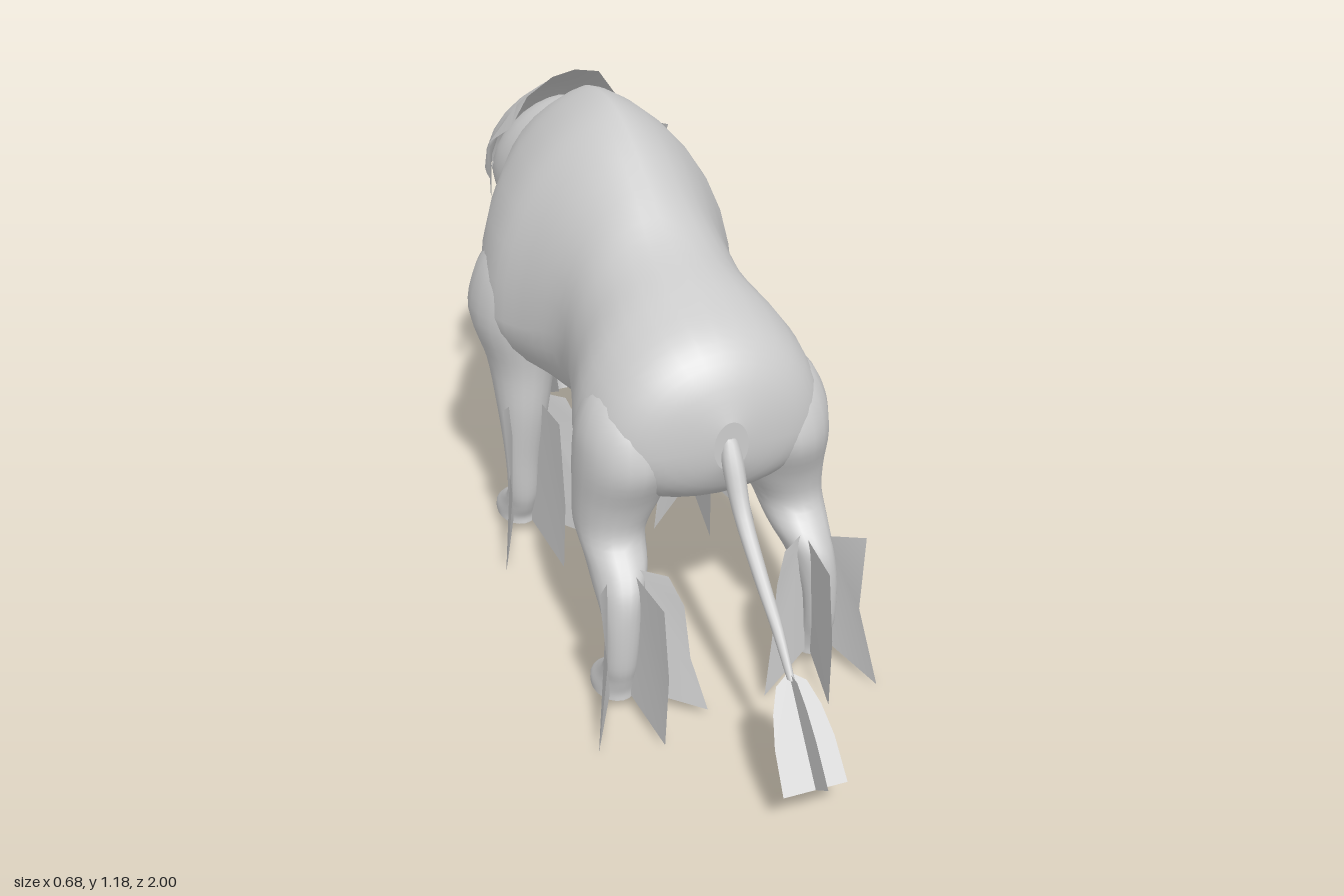
import * as THREE from 'three';

const hide = new THREE.MeshStandardMaterial({ color: 0xcccccc, side: THREE.DoubleSide });
hide.name = 'plain grey';

// Catmull-Rom refinement of rows of numbers
function refine(rows, n) {
  const out = [];
  const at = i => rows[Math.max(0, Math.min(rows.length - 1, i))];
  for (let i = 0; i < rows.length - 1; i++) {
    for (let k = 0; k < n; k++) {
      const t = k / n;
      out.push(rows[i].map((b, j) => {
        const a = at(i - 1)[j], c = at(i + 1)[j], d = at(i + 2)[j];
        return b + 0.5 * t * (c - a + t * (2 * a - 5 * b + 4 * c - d + t * (3 * (b - c) + d - a)));
      }));
    }
  }
  out.push(rows[rows.length - 1]);
  return out;
}

// Rows of [x,y,z] points joined into a surface; closed rows get end caps
function surface(name, rows, closed) {
  const pos = rows.flat(2), idx = [], n = rows[0].length;
  const span = closed ? n : n - 1;
  for (let r = 0; r < rows.length - 1; r++) {
    for (let c = 0; c < span; c++) {
      const a = r * n + c, b = r * n + (c + 1) % n;
      idx.push(a, b, a + n, b, b + n, a + n);
    }
  }
  if (closed) {
    [rows[0], rows[rows.length - 1]].forEach((ring, end) => {
      const base = pos.length / 3;
      const mid = [0, 1, 2].map(k => ring.reduce((s, p) => s + p[k], 0) / n);
      pos.push(...ring.flat(), ...mid);
      for (let c = 0; c < n; c++) {
        const d = (c + 1) % n;
        idx.push(base + n, base + (end ? c : d), base + (end ? d : c));
      }
    });
    // Turn the faces outward
    let vol = 0;
    const v = i => new THREE.Vector3(pos[3 * i], pos[3 * i + 1], pos[3 * i + 2]);
    for (let i = 0; i < idx.length; i += 3) vol += v(idx[i]).dot(v(idx[i + 1]).cross(v(idx[i + 2])));
    if (vol < 0) idx.reverse();
  }
  const g = new THREE.BufferGeometry();
  g.setAttribute('position', new THREE.Float32BufferAttribute(pos, 3));
  g.setIndex(idx);
  g.computeVertexNormals();
  const mesh = new THREE.Mesh(g, hide);
  mesh.name = name;
  return mesh;
}

// Rounded section facing along z: [z, top, bottom, halfWidth, widestY, taper]
function bodyRing([z, top, bot, w, mid, p], n = 32) {
  return Array.from({ length: n }, (_, i) => {
    const a = i / n * Math.PI * 2, s = Math.sin(a), c = Math.cos(a);
    const x = Math.sign(s) * Math.pow(Math.abs(s), c > 0 ? p : 1) * w;
    return [x, mid + c * (c > 0 ? top - mid : mid - bot), z];
  });
}

// Level leg section: [y, x, z, halfWidth, halfDepth]
function legRing([y, x, z, rx, rz], side, n = 20) {
  return Array.from({ length: n }, (_, i) => {
    const a = i / n * Math.PI * 2;
    return [side * (x + rx * Math.cos(a)), y, z + rz * Math.sin(a)];
  });
}

// Thin plate from an outline in space
function plate(name, pts) {
  const idx = [];
  for (let i = 1; i < pts.length - 1; i++) idx.push(0, i, i + 1);
  const g = new THREE.BufferGeometry();
  g.setAttribute('position', new THREE.Float32BufferAttribute(pts.flat(), 3));
  g.setIndex(idx);
  g.computeVertexNormals();
  const mesh = new THREE.Mesh(g, hide);
  mesh.name = name;
  return mesh;
}

export function createModel() {
  const model = new THREE.Group();
  model.name = 'animal';
  const loft = (name, rows, n, ring) => model.add(surface(name, refine(rows, n).map(r => ring(r)), true));

  // Torso and neck
  loft('body', [
    [0.458, 0.73, 0.61, 0.04, 0.67, 1], [0.42, 0.825, 0.54, 0.18, 0.65, 1],
    [0.35, 0.895, 0.49, 0.26, 0.63, 1], [0.23, 0.94, 0.46, 0.28, 0.63, 1],
    [0.08, 0.985, 0.44, 0.238, 0.66, 1], [-0.05, 1.065, 0.45, 0.222, 0.72, 1.1],
    [-0.2, 1.15, 0.47, 0.27, 0.68, 1.25], [-0.33, 1.18, 0.47, 0.315, 0.67, 1.4],
    [-0.48, 1.16, 0.5, 0.29, 0.7, 1.4], [-0.59, 1.1, 0.63, 0.21, 0.82, 1.2],
    [-0.66, 1.05, 0.71, 0.17, 0.85, 1.1],
  ], 4, bodyRing);

  // Skull and muzzle
  loft('head', [
    [-0.63, 1.06, 0.73, 0.185, 0.85, 1.2], [-0.72, 1.05, 0.75, 0.18, 0.85, 1.2],
    [-0.8, 1.0, 0.76, 0.16, 0.84, 1.2], [-0.87, 0.93, 0.735, 0.12, 0.8, 1.1],
    [-0.91, 0.89, 0.685, 0.09, 0.77, 1], [-0.95, 0.85, 0.675, 0.065, 0.75, 1],
    [-0.98, 0.8, 0.69, 0.04, 0.74, 1], [-0.992, 0.77, 0.72, 0.015, 0.745, 1],
  ], 3, bodyRing);

  // Swept-back mask with a jagged rear edge
  const edge = [[0, 1.165, -0.58], [0.06, 1.155, -0.575], [0.13, 1.06, -0.66], [0.17, 1.035, -0.58],
    [0.21, 0.98, -0.64], [0.235, 1.0, -0.55], [0.218, 0.83, -0.62]];
  const maskRows = refine([
    [-0.998, 0.825, 0.805, 0.01], [-0.955, 0.9, 0.8, 0.06], [-0.88, 0.985, 0.825, 0.135],
    [-0.81, 1.045, 0.84, 0.18], [-0.69, 1.11, 0.86, 0.2],
  ], 2).map(([z, top, low, w]) => Array.from({ length: 13 }, (_, i) => {
    const a = (i - 6) / 6 * Math.PI / 2, s = Math.sin(a);
    return [w * Math.sign(s) * Math.pow(Math.abs(s), 1.2), low + (top - low) * Math.cos(a), z];
  }));
  maskRows.push(Array.from({ length: 13 }, (_, i) => {
    const [x, y, z] = edge[Math.abs(i - 6)];
    return [i < 6 ? -x : x, y, z];
  }));
  model.add(surface('mask', maskRows, false));

  // Nose
  const nose = new THREE.Mesh(new THREE.SphereGeometry(0.03, 16, 12), hide);
  nose.name = 'nose';
  nose.scale.set(1.1, 0.7, 0.7);
  nose.position.set(0, 0.765, -0.972);
  model.add(nose);

  // Rounded beard layers: front top, front bottom, side top, side bottom as [z, y], then widths
  [
    [[-0.93, 0.7], [-0.97, 0.48], [-0.72, 0.77], [-0.59, 0.69], 0.12, 0.18],
    [[-0.91, 0.6], [-0.915, 0.39], [-0.59, 0.69], [-0.53, 0.56], 0.16, 0.18],
    [[-0.86, 0.5], [-0.855, 0.305], [-0.54, 0.57], [-0.48, 0.47], 0.15, 0.16],
    [[-0.79, 0.42], [-0.7, 0.2], [-0.46, 0.48], [-0.4, 0.37], 0.12, 0.12],
  ].forEach(([ft, fb, st, sb, wt, wb], i) => {
    const row = (f, s, w) => Array.from({ length: 9 }, (_, k) => {
      const t = (k - 4) / 4, m = Math.pow(Math.abs(t), 1.5);
      return [w * Math.sin(t * Math.PI / 2), f[1] + (s[1] - f[1]) * m, f[0] + (s[0] - f[0]) * m];
    });
    model.add(surface('beardLayer' + (i + 1), [row(ft, st, wt), row(fb, sb, wb)], false));
  });

  const frontLeg = [
    [0.88, 0.17, -0.37, 0.04, 0.05], [0.82, 0.19, -0.378, 0.09, 0.1], [0.74, 0.208, -0.39, 0.117, 0.14],
    [0.63, 0.218, -0.4, 0.124, 0.155],
    [0.51, 0.225, -0.375, 0.085, 0.115], [0.39, 0.235, -0.34, 0.065, 0.075], [0.25, 0.245, -0.325, 0.045, 0.04],
    [0.14, 0.245, -0.335, 0.04, 0.037], [0.09, 0.245, -0.375, 0.043, 0.062],
    [0.055, 0.245, -0.405, 0.05, 0.075], [0.035, 0.245, -0.405, 0.05, 0.075],
  ];
  const hindLeg = [
    [0.81, 0.14, 0.275, 0.04, 0.05], [0.75, 0.165, 0.28, 0.09, 0.09], [0.68, 0.178, 0.285, 0.11, 0.125],
    [0.6, 0.183, 0.285, 0.114, 0.14], [0.5, 0.198, 0.275, 0.1, 0.11],
    [0.42, 0.217, 0.275, 0.08, 0.1], [0.36, 0.222, 0.33, 0.068, 0.1],
    [0.31, 0.232, 0.375, 0.055, 0.085], [0.24, 0.24, 0.425, 0.043, 0.042], [0.14, 0.245, 0.425, 0.039, 0.038],
    [0.09, 0.245, 0.395, 0.042, 0.055], [0.055, 0.245, 0.37, 0.05, 0.07], [0.035, 0.245, 0.37, 0.05, 0.07],
  ];

  for (const side of [1, -1]) {
    const word = side > 0 ? 'left' : 'right';
    loft(word + 'FrontLeg', frontLeg, 4, r => legRing(r, side));
    loft(word + 'HindLeg', hindLeg, 4, r => legRing(r, side));

    // Feathered plates behind each shank
    [['Hind', 0, 0, 0.43], ['Front', -0.73, 0.06, 0.395]].forEach(([pair, dz, rise, foot]) => {
      const fin = (name, pts) => model.add(plate(word + pair + name,
        pts.map(([x, y, z]) => [side * x, y > 0.25 ? y + rise : y, z + dz])));
      fin('OuterFin', [[0.265, 0.34, 0.4], [0.318, 0.385, 0.5], [0.305, 0.2, 0.51], [0.342, 0, 0.55], [0.275, 0.05, foot]]);
      fin('MiddleFin', [[0.21, 0.36, 0.4], [0.195, 0.36, 0.57], [0.195, 0.2, 0.6], [0.2, 0.01, 0.59], [0.225, 0.04, foot]]);
      fin('InnerFin', [[0.215, 0.37, 0.4], [0.14, 0.36, 0.45], [0.112, 0.29, 0.475], [0.1, 0.15, 0.485], [0.07, 0.02, 0.52], [0.21, 0.05, foot]]);
    });

    // Eye and its lid
    const eye = new THREE.Mesh(new THREE.SphereGeometry(0.018, 12, 8), hide);
    eye.name = word + 'Eye';
    eye.position.set(side * 0.133, 0.822, -0.85);
    const lid = new THREE.Mesh(new THREE.TorusGeometry(0.022, 0.006, 6, 16), hide);
    lid.name = word + 'EyeLid';
    lid.position.copy(eye.position);
    lid.rotation.y = side * 2.1;
    model.add(eye, lid);
  }

  // Tail
  loft('tail', [
    [0.69, 0, 0.445, 0.016, 0.015], [0.64, 0, 0.465, 0.024, 0.028], [0.54, 0, 0.525, 0.02, 0.026],
    [0.44, 0, 0.64, 0.016, 0.024], [0.38, 0, 0.72, 0.013, 0.02], [0.3, 0, 0.8, 0.008, 0.012],
  ], 4, r => legRing(r, 1, 12));

  // Crossed plates of the tail tuft
  const outline = [[0, 0], [0.035, 0.025], [0.055, 0.08], [0.068, 0.15], [0.073, 0.25]];
  const both = [...outline, ...outline.slice(1).reverse().map(([w, l]) => [-w, l])];
  const dir = [-0.78, 0.62]; // y and z along the tuft
  model.add(plate('tuftAcross', both.map(([w, l]) => [w, 0.31 + dir[0] * l, 0.79 + dir[1] * l])));
  model.add(plate('tuftUpright', both.map(([w, l]) =>
    [0, 0.31 + dir[0] * l + dir[1] * w, 0.79 + dir[1] * l - dir[0] * w])));

  return model;
}
